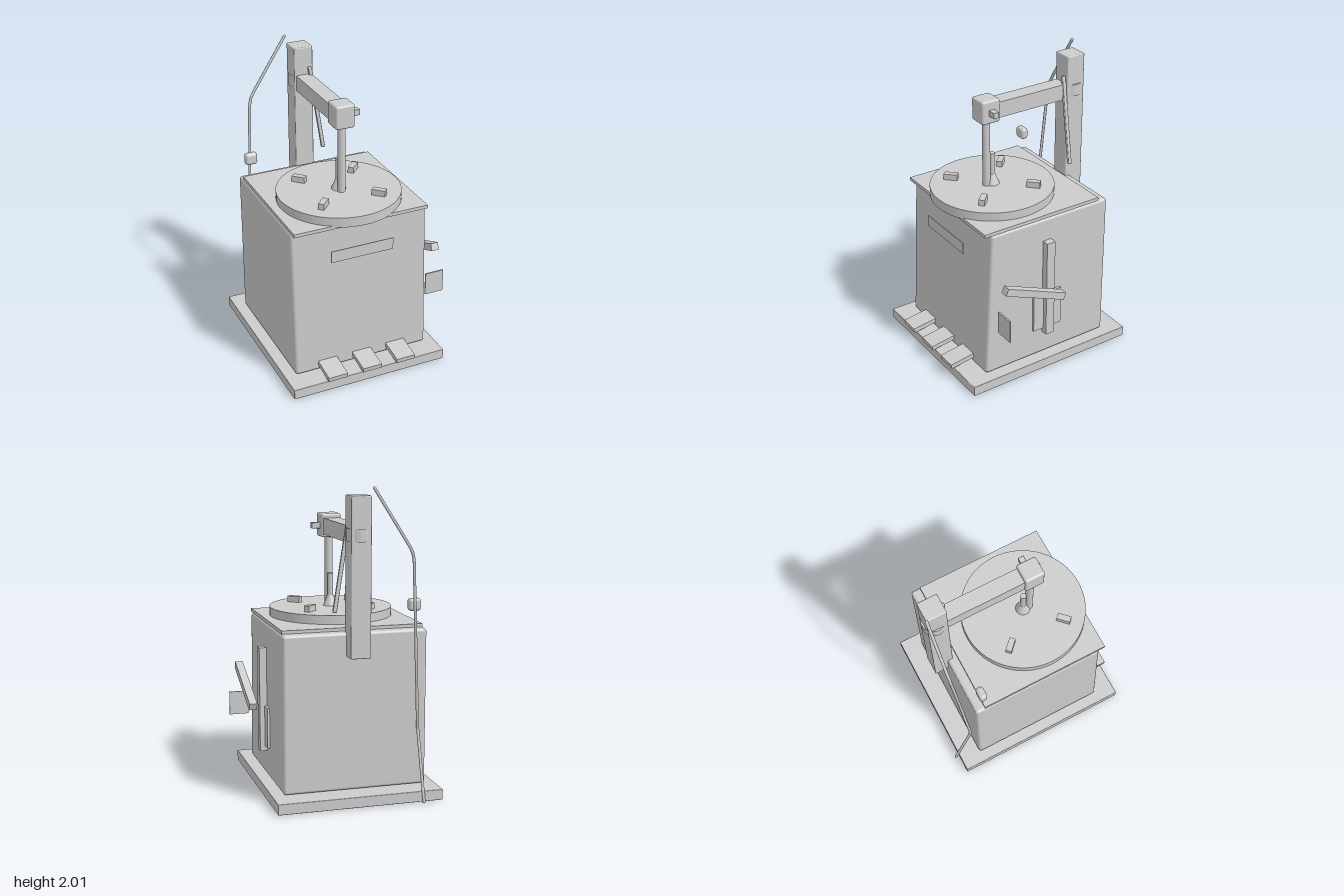
import * as THREE from 'three';
import { RoundedBoxGeometry } from 'three/addons/geometries/RoundedBoxGeometry.js';

export function createModel() {
  const model = new THREE.Group();
  model.name = 'pillarMachine';
  const grey = new THREE.MeshStandardMaterial({ color: 0xcccccc });
  grey.name = 'light grey';

  const add = (name, geometry, x = 0, y = 0, z = 0) => {
    const mesh = new THREE.Mesh(geometry, grey);
    mesh.name = name;
    mesh.position.set(x, y, z);
    model.add(mesh);
    return mesh;
  };
  // Box given by its minimum and maximum on each axis, optionally rounded
  const box = (name, [x0, x1], [y0, y1], [z0, z1], radius = 0) => {
    const size = [x1 - x0, y1 - y0, z1 - z0];
    const geometry = radius
      ? new RoundedBoxGeometry(...size, 3, radius)
      : new THREE.BoxGeometry(...size);
    return add(name, geometry, (x0 + x1) / 2, (y0 + y1) / 2, (z0 + z1) / 2);
  };
  const cylinder = (name, rTop, rBottom, y0, y1, x, z, sides = 32) =>
    add(name, new THREE.CylinderGeometry(rTop, rBottom, y1 - y0, sides), x, (y0 + y1) / 2, z);

  const axisX = -0.051;   // shared by column, arm and table
  const tableZ = 0.113;

  // Floor plate and cabinet, whose front leans back towards the top
  box('basePlate', [-0.594, 0.495], [0, 0.07], [-0.612, 0.615], 0.004);
  const cabinet = box('cabinet', [-0.522, 0.424], [0.075, 1.1], [-0.473, 0.477], 0.02);
  const p = cabinet.geometry.attributes.position;
  for (let i = 0; i < p.count; i++) {
    if (p.getZ(i) > 0) p.setZ(i, p.getZ(i) - 0.052 * (p.getY(i) / 1.025 + 0.5));
  }
  box('topPlate', [-0.514, 0.414], [1.098, 1.121], [-0.407, 0.468]);
  box('frontPlaque', [-0.27, 0.165], [0.866, 0.946], [0.474, 0.479]);

  // Round table with four radial clamps
  cylinder('table', 0.408, 0.408, 1.113, 1.179, axisX, tableZ, 64);
  for (const sx of [-1, 1]) {
    for (const sz of [-1, 1]) {
      const clamp = add('clamp', new THREE.BoxGeometry(0.09, 0.045, 0.04),
        axisX + sx * 0.195, 1.197, tableZ + sz * 0.195);
      clamp.rotation.y = -sx * sz * Math.PI / 4;
    }
  }
  cylinder('centreCone', 0.02, 0.048, 1.179, 1.25, axisX, tableZ);
  cylinder('centrePin', 0.019, 0.019, 1.24, 1.397, axisX, tableZ);

  // Column, arm, head and spindle
  box('column', [-0.117, 0.014], [0.948, 1.955], [-0.567, -0.434], 0.007);
  cylinder('columnCollar', 0.077, 0.077, 1.675, 1.755, axisX, -0.503);
  box('arm', [-0.104, 0.002], [1.658, 1.765], [-0.44, 0.1]);
  box('head', [-0.117, 0.014], [1.637, 1.795], [0.088, 0.221], 0.015);
  box('headKnob', [0.01, 0.07], [1.693, 1.733], [0.133, 0.173], 0.004);
  cylinder('spindle', 0.026, 0.026, 1.17, 1.65, axisX, 0.156);
  const columnLever = box('columnLever', [0.018, 0.044], [1.218, 1.822], [-0.431, -0.407], 0.006);
  columnLever.rotation.z = Math.atan2(0.092, 0.59);
  box('cornerButton', [-0.5, -0.416], [1.207, 1.288], [-0.428, -0.376], 0.02);

  // Crank assembly on the left side
  box('sidePanel', [0.422, 0.44], [0.28, 0.552], [-0.104, 0.113]);
  box('sideRail', [0.424, 0.472], [0.245, 0.942], [-0.027, 0.036]);
  const sideLever = box('sideLever', [0.497, 0.549], [0.627, 0.677], [-0.075, 0.413]);
  sideLever.rotation.x = -Math.atan2(36, 85);
  box('handPlate', [0.457, 0.59], [0.396, 0.556], [0.394, 0.404]);

  // Three tilted foot pedals
  for (const x of [-0.297, -0.051, 0.195]) {
    const pedal = add('pedal', new THREE.BoxGeometry(0.134, 0.032, 0.2), x, 0.115, 0.545);
    pedal.rotation.x = 0.14;
  }

  // Cable falling behind the cabinet, with short bends between straight runs
  const points = [
    [-0.13, 2.0, -0.569], [-0.36, 1.64, -0.572], [-0.392, 1.54, -0.568],
    [-0.453, 0.5, -0.504], [-0.457, 0.42, -0.51], [-0.457, 0.008, -0.634],
  ].map((q) => new THREE.Vector3(...q));
  const path = new THREE.CurvePath();
  path.add(new THREE.LineCurve3(points[0], points[1]));
  path.add(new THREE.QuadraticBezierCurve3(points[1], new THREE.Vector3(-0.386, 1.6, -0.572), points[2]));
  path.add(new THREE.LineCurve3(points[2], points[3]));
  path.add(new THREE.QuadraticBezierCurve3(points[3], new THREE.Vector3(-0.456, 0.46, -0.501), points[4]));
  path.add(new THREE.LineCurve3(points[4], points[5]));
  add('cable', new THREE.TubeGeometry(path, 80, 0.01, 8));
  for (const end of [0, 5]) {
    add('cableEnd', new THREE.SphereGeometry(0.01, 8, 6), points[end].x, points[end].y, points[end].z);
  }

  return model;
}
